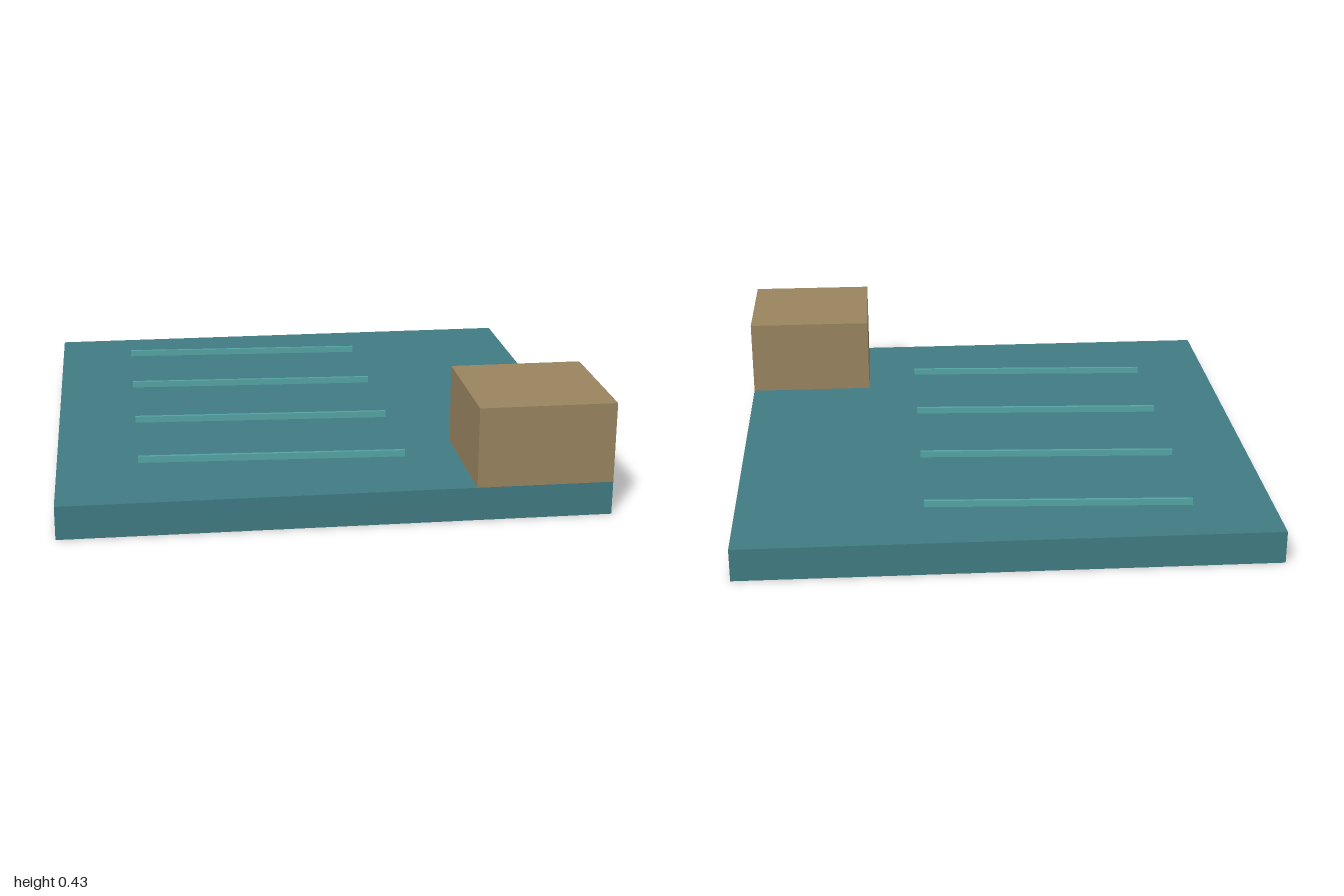
import * as THREE from 'three';

export function createModel() {
  const model = new THREE.Group();
  const slabTeal = new THREE.MeshStandardMaterial({ color: 0x417c84 });
  slabTeal.name = 'slab teal';
  const stripTeal = new THREE.MeshStandardMaterial({ color: 0x55a6a6 });
  stripTeal.name = 'light teal';
  const sand = new THREE.MeshStandardMaterial({ color: 0x9b8560 });
  sand.name = 'sand brown';

  const SLAB_TOP = 0.125;

  // Box whose underside sits at the given height
  function addBox(name, [w, h, d], [x, bottom, z], material) {
    const mesh = new THREE.Mesh(new THREE.BoxGeometry(w, h, d), material);
    mesh.name = name;
    mesh.position.set(x, bottom + h / 2, z);
    model.add(mesh);
    return mesh;
  }

  // Square base slab
  addBox('baseSlab', [2, SLAB_TOP, 2], [0, 0, 0], slabTeal);

  // Block on the front left corner
  addBox('cornerBlock', [0.5, 0.3, 0.5], [0.75, SLAB_TOP, 0.75], sand);

  // Four thin, slightly slanted ridges
  for (let i = 0; i < 4; i++) {
    const z = -0.725 + i * 0.45;
    const ridge = addBox('ridge' + (i + 1), [1, 0.025, 0.012], [-0.2, SLAB_TOP, z], stripTeal);
    ridge.rotation.y = -0.05;
  }

  return model;
}
